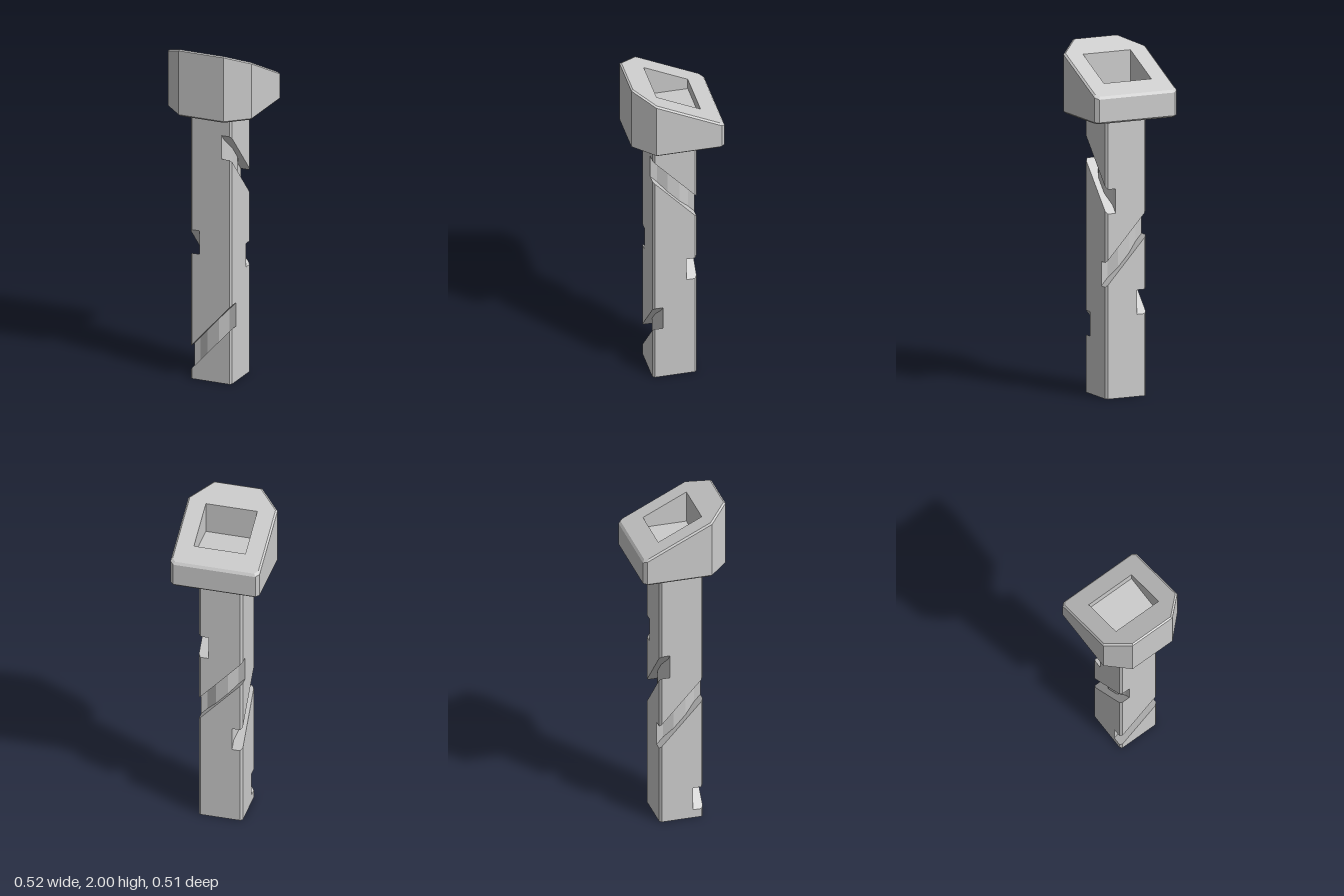
import * as THREE from 'three';

const material = new THREE.MeshStandardMaterial({ color: 0xcccccc, flatShading: true, side: THREE.DoubleSide });

const H = 0.128;      // shaft half width
const C = 0.012;      // shaft edge chamfer
const A = H - C;      // half width of the flat part of a face
const TOP = 1.61;     // shaft top
const BAND = 0.07;    // half height of a groove
const END = 0.06;     // groove depth at the corners
const MID = 0.036;    // groove depth in the middle

function addMesh(parent, geometry, name) {
  const flat = geometry.index ? geometry.toNonIndexed() : geometry;
  flat.computeVertexNormals();
  const mesh = new THREE.Mesh(flat, material);
  mesh.name = name;
  parent.add(mesh);
}

// Walls between successive rings of [x, y, z] points
function loft(rings, closed = true) {
  const pos = [];
  for (let r = 0; r + 1 < rings.length; r++) {
    const lo = rings[r], hi = rings[r + 1], n = lo.length;
    for (let i = 0; i < (closed ? n : n - 1); i++) {
      const j = (i + 1) % n;
      pos.push(...lo[i], ...lo[j], ...hi[j], ...lo[i], ...hi[j], ...hi[i]);
    }
  }
  const g = new THREE.BufferGeometry();
  g.setAttribute('position', new THREE.Float32BufferAttribute(pos, 3));
  return g;
}

const toShape = pts => new THREE.Shape(pts.map(p => new THREE.Vector2(p[0], p[1])));

// Cap over an [x, z] outline, its height given by a function of x and z
function cap(outline, height, { hole, down = false } = {}) {
  const shape = toShape(outline.map(([x, z]) => [x, -z]));
  if (hole) shape.holes.push(toShape(hole.map(([x, z]) => [x, -z])));
  const g = new THREE.ShapeGeometry(shape);
  const p = g.attributes.position;
  for (let i = 0; i < p.count; i++) {
    const x = p.getX(i), z = -p.getY(i);
    p.setXYZ(i, x, height(x, z), z);
  }
  if (down) g.index.array.reverse();
  return g;
}

const rect = (x, z0, z1) => [[-x, z1], [x, z1], [x, z0], [-x, z0]];
const square = s => rect(s, -s, s);
const ring = (outline, height) => outline.map(([x, z]) => [x, height(x, z), z]);

// Groove centre heights at the left and right end of each face: front, left, back, right
const grooves = [[0.12, 0.40], [1.41, 1.13], [0.71, 0.99], [0.54, 0.82]];
const grooveY = (i, u) => {
  const [y0, y1] = grooves[(i + 4) % 4];
  return y0 + (y1 - y0) * (u + H) / (2 * H);
};

// One edge of a face going up, stepping round the neighbour's groove
function edge(side, from, to, notchY) {
  const pts = [[side * A, from]];
  if (notchY > from && notchY < to) {
    const inner = side * (H - END), a = notchY - BAND, b = notchY + BAND;
    pts.push([side * A, a], [inner, a], [inner, b], [side * A, b]);
  }
  pts.push([side * A, to]);
  return pts;
}

function shaftSide(i) {
  const side = new THREE.Group();
  side.name = 'shaftSide';

  // Flat panels below and above the groove
  const leftNotch = grooveY(i - 1, H), rightNotch = grooveY(i + 1, -H);
  const yl = grooveY(i, -A), yr = grooveY(i, A);
  const spans = [[0, yl - BAND, 0, yr - BAND], [yl + BAND, TOP, yr + BAND, TOP]];
  for (const [l0, l1, r0, r1] of spans) {
    const outline = [...edge(1, r0, r1, rightNotch), ...edge(-1, l0, l1, leftNotch).reverse()];
    addMesh(side, new THREE.ShapeGeometry(toShape(outline)).translate(0, 0, H), 'shaftPanel');
  }

  // Slanted groove: faceted floor, ceiling and sill
  const floor = [[-H, END], [-0.09, END], [-0.035, MID], [0.035, MID], [0.09, END], [H, END]]
    .map(([u, d]) => [u, H - d]);
  const low = u => grooveY(i, u) - BAND, high = u => grooveY(i, u) + BAND;
  addMesh(side, loft([ring(floor, low), ring(floor, high)], false), 'grooveFloor');
  const section = [...floor, [H, A], [A, H], [-A, H], [-H, A]];
  addMesh(side, cap(section, high, { down: true }), 'grooveCeiling');
  addMesh(side, cap(section, low), 'grooveSill');

  // Chamfered corner, interrupted by the two grooves that cross it
  const cuts = [[grooveY(i, A), grooveY(i, H)], [grooveY(i + 1, -H), grooveY(i + 1, -A)]]
    .sort((a, b) => a[0] - b[0]);
  let start = [0, 0];
  for (const [a, b] of [...cuts, [TOP + BAND, TOP + BAND]]) {
    addMesh(side, loft([
      [[A, start[0], H], [H, start[1], A]],
      [[A, a - BAND, H], [H, b - BAND, A]],
    ], false), 'shaftChamfer');
    start = [a + BAND, b + BAND];
  }
  side.rotation.y = i * Math.PI / 2;
  return side;
}

function createShaft() {
  const shaft = new THREE.Group();
  shaft.name = 'shaft';
  for (let i = 0; i < 4; i++) shaft.add(shaftSide(i));

  // Stepped square socket in the foot
  const foot = [[-A, H], [A, H], [H, A], [H, -A], [A, -H], [-A, -H], [-H, -A], [-H, A]];
  const outer = square(0.085), inner = square(0.045);
  const y0 = () => 0, y1 = () => 0.04, y2 = () => 0.08;
  addMesh(shaft, cap(foot, y0, { hole: outer, down: true }), 'footRim');
  addMesh(shaft, loft([ring(outer, y1), ring(outer, y0)]), 'socketWall');
  addMesh(shaft, cap(outer, y1, { hole: inner, down: true }), 'socketStep');
  addMesh(shaft, loft([ring(inner, y2), ring(inner, y1)]), 'socketInnerWall');
  addMesh(shaft, cap(inner, y2, { down: true }), 'socketEnd');

  // Flared collar under the head
  addMesh(shaft, loft([ring(square(H), () => 1.59), ring(square(0.142), () => TOP)]), 'collar');
  return shaft;
}

function createHead() {
  const head = new THREE.Group();
  head.name = 'head';
  const outline = [[-0.14, 0.255], [0.14, 0.255], [0.26, 0.14], [0.26, -0.24],
    [0.24, -0.26], [-0.24, -0.26], [-0.26, -0.24], [-0.26, 0.14]];
  const inset = outline.map(([x, z]) => [x * 0.96, z * 0.96]);
  const slope = (x, z) => 1.762 + 0.484 * (z + 0.25);
  const bottom = () => 1.605;

  // Body with bevelled rims and a sloping top
  addMesh(head, loft([
    ring(inset, bottom),
    ring(outline, () => 1.615),
    ring(outline, (x, z) => slope(x, z) - 0.01),
    ring(inset, slope),
  ]), 'headBody');
  addMesh(head, cap(inset, bottom, { down: true }), 'headUnderside');

  // Square pocket with a level floor
  const pocket = rect(0.15, -0.143, 0.112), floorY = () => 1.75;
  addMesh(head, cap(inset, slope, { hole: pocket }), 'headTop');
  addMesh(head, loft([ring(pocket, slope), ring(pocket, floorY)]), 'pocketWall');
  addMesh(head, cap(pocket, floorY), 'pocketFloor');
  return head;
}

export function createModel() {
  const model = new THREE.Group();
  model.name = 'groovedPin';
  model.add(createShaft(), createHead());
  return model;
}
